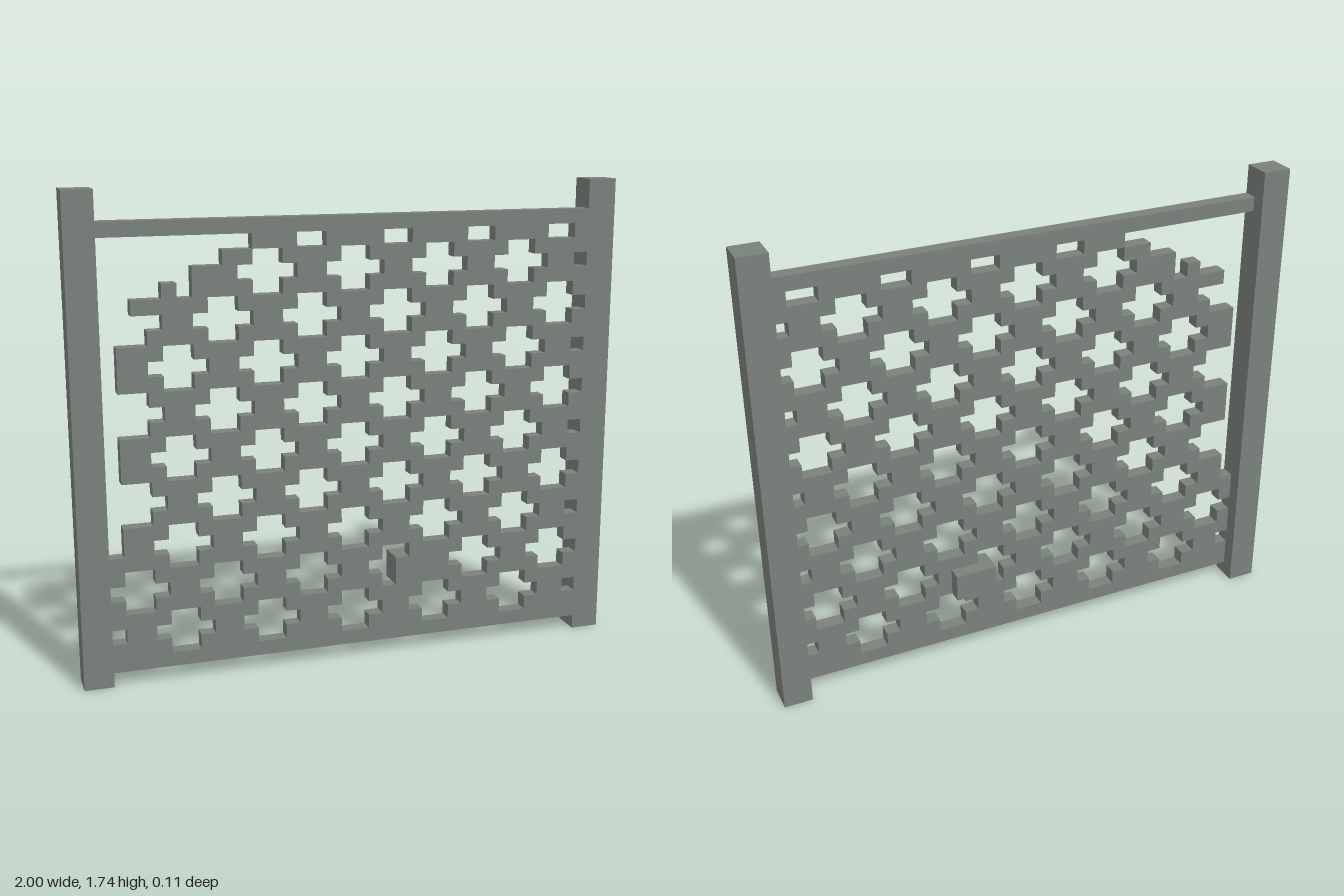
import * as THREE from 'three';

// Everything sits on a square grid: 38 cells wide, 33 cells tall.
const U = 2 / 38;
const point = ([c, r]) => new THREE.Vector2((c - 19) * U, r * U);
const rect = (c0, r0, c1, r1) => [[c0, r0], [c1, r0], [c1, r1], [c0, r1]];

// Cross-shaped opening: four cells wide, three tall, bottom row at r.
const cross = (c, r) => [
  [c - 1, r], [c + 1, r], [c + 1, r + 1], [c + 2, r + 1], [c + 2, r + 2], [c + 1, r + 2],
  [c + 1, r + 3], [c - 1, r + 3], [c - 1, r + 2], [c - 2, r + 2], [c - 2, r + 1], [c - 1, r + 1],
];

// Ragged opening along the left post and upper left corner.
function brokenCorner() {
  const pts = [
    [2, 30], [11.98, 30], [11.98, 29], [10, 29], [10, 28], [8, 28], [8, 26], [7, 26],
    [7, 27], [6, 27], [6, 26], [4, 26], [4, 25], [6, 25], [6, 24], [5, 24], [5, 23],
  ];
  for (const r of [17, 11]) {
    pts.push([3, r + 6], [3, r + 3], [5, r + 3], [5, r + 2], [6, r + 2], [6, r + 1], [5, r + 1], [5, r]);
  }
  pts.push([3, 11], [3, 9], [2, 9]);
  return pts;
}

function latticeOpenings() {
  const holes = [brokenCorner()];
  for (let k = 0; k < 9; k++) {
    const r = 2 + 3 * k;
    const odd = k % 2 === 1;
    for (let c = odd ? 4 : 7; c <= 34; c += 6) {
      if (c === 4 && k > 1) continue; // lost in the broken edge
      if (c === 7 && k === 8) continue; // lost in the broken corner
      if (c === 22 && k === 1) continue; // partly filled by the block
      holes.push(cross(c, r));
    }
    if (!odd) holes.push(rect(35, r + 1, 36, r + 2)); // arm cut off by the right post
  }
  holes.push(rect(2, 3, 3, 4));
  // slots under the top rail
  for (let c = 16; c <= 34; c += 6) holes.push(rect(c - 1, 29, c + 1, 30));
  // opening beside the block
  holes.push([
    [21, 5], [22, 5], [22, 7], [23, 7], [23, 8], [21, 8], [21, 7], [20, 7], [20, 6], [21, 6],
  ]);
  return holes;
}

export function createModel() {
  const model = new THREE.Group();
  model.name = 'latticeScreen';
  const stone = new THREE.MeshStandardMaterial({ color: 0x7a817b });
  stone.name = 'greyGreenStone';

  const add = (name, geometry) => {
    const mesh = new THREE.Mesh(geometry, stone);
    mesh.name = name;
    model.add(mesh);
    return mesh;
  };

  // Front layer: rails, lattice and the front halves of the posts
  const outline = [
    [0, 0], [2, 0], [2, 1], [36, 1], [36, 0], [38, 0],
    [38, 33], [36, 33], [36, 31], [2, 31], [2, 33], [0, 33],
  ];
  const shape = new THREE.Shape(outline.map(point));
  shape.holes = latticeOpenings().map((h) => new THREE.Path(h.map(point)));
  add('latticeAndFrame', new THREE.ExtrudeGeometry(shape, { depth: U, bevelEnabled: false }));

  // Parts one cell deep behind the front layer
  const addBehind = (name, c0, r0, c1, r1) => {
    const mesh = add(name, new THREE.BoxGeometry((c1 - c0) * U, (r1 - r0) * U, U));
    mesh.position.set(((c0 + c1) / 2 - 19) * U, ((r0 + r1) / 2) * U, -U / 2);
  };
  addBehind('rightPostBack', 0, 0, 2, 33);
  addBehind('leftPostBack', 36, 0, 38, 33);
  addBehind('latchBlock', 22, 5, 25, 7);

  return model;
}
